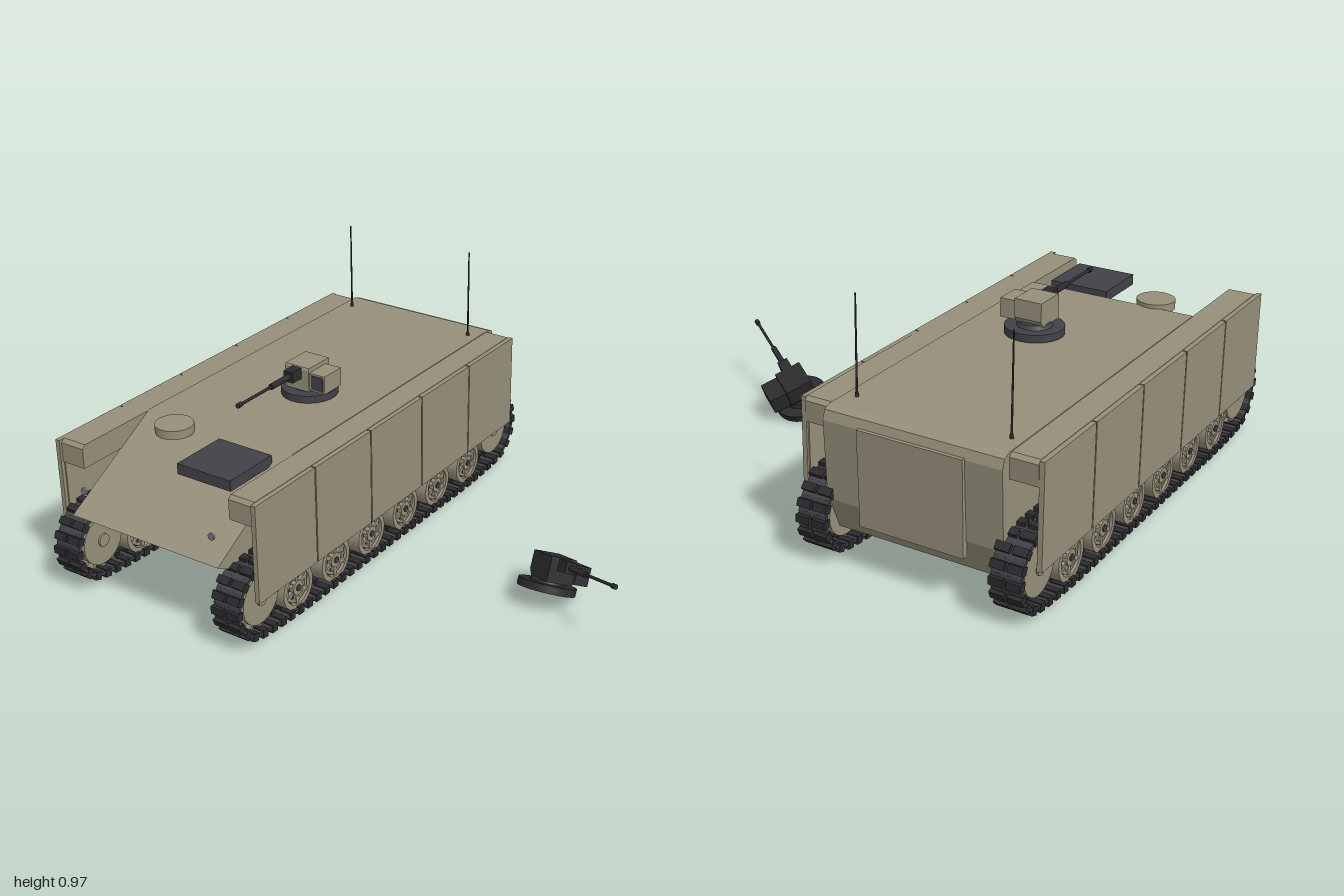
import * as THREE from 'three';
import { mergeGeometries, toCreasedNormals } from 'three/addons/utils/BufferGeometryUtils.js';

const mat = (name, color) => new THREE.MeshStandardMaterial({ name, color });
const CX = -0.528; // centre line of the vehicle

export function createModel() {
  const tan = mat('tan paint', 0x968f7a);
  const charcoal = mat('charcoal', 0x424147);
  const black = mat('black metal', 0x2b2b2f);
  const grey = mat('lamp grey', 0x777a80);
  const model = new THREE.Group();
  model.name = 'armouredCarrier';

  const add = (parent, name, geo, material, x = 0, y = 0, z = 0) => {
    const m = new THREE.Mesh(geo, material);
    m.name = name;
    m.position.set(x, y, z);
    parent.add(m);
    return m;
  };
  // box from its min and max corners
  const block = (parent, name, material, x0, x1, y0, y1, z0, z1) =>
    add(parent, name, new THREE.BoxGeometry(x1 - x0, y1 - y0, z1 - z0), material,
      (x0 + x1) / 2, (y0 + y1) / 2, (z0 + z1) / 2);
  // side profile in (z, y), extruded across x from x0 to x1
  const slab = (parent, name, material, pts, x0, x1) => {
    const shape = new THREE.Shape(pts.map(p => new THREE.Vector2(p[0], p[1])));
    const g = new THREE.ExtrudeGeometry(shape, { depth: x1 - x0, bevelEnabled: false });
    g.rotateY(-Math.PI / 2);
    return add(parent, name, g, material, x1);
  };
  const xCylinder = (r, w, n = 32) => new THREE.CylinderGeometry(r, r, w, n).rotateZ(Math.PI / 2);
  const zCylinder = (r, l, n = 12) => new THREE.CylinderGeometry(r, r, l, n).rotateX(Math.PI / 2);

  // hull
  const hull = new THREE.Group();
  hull.name = 'hull';
  model.add(hull);
  slab(hull, 'hullBody', tan, [[0.95, 0.34], [0.5, 0.597], [-0.89, 0.597], [-0.92, 0.585],
    [-0.932, 0.55], [-0.915, 0.25], [-0.86, 0.12], [0.55, 0.12]], -0.875, -0.181);
  slab(hull, 'rearDoor', tan, [[-0.91, 0.19], [-0.91, 0.555], [-0.945, 0.555], [-0.932, 0.19]], -0.735, -0.325);
  add(hull, 'roundHatch', new THREE.CylinderGeometry(0.075, 0.075, 0.035, 40), tan, -0.693, 0.595, 0.56);
  block(hull, 'engineGrille', charcoal, -0.484, -0.238, 0.557, 0.6, 0.55, 0.79);

  for (const s of [-1, 1]) {
    const side = s > 0 ? 'left' : 'right';
    const span = (a, b) => (s > 0 ? [CX + a, CX + b] : [CX - b, CX - a]);

    // sponson box and hanging skirt panels
    slab(hull, side + 'Sponson', tan, [[0.87, 0.5], [0.87, 0.58], [0.855, 0.594], [-0.875, 0.594],
      [-0.89, 0.58], [-0.885, 0.5]], ...span(0.345, 0.452));
    for (let i = 0; i < 5; i++) {
      const z = 0.88 - i * 0.354;
      block(hull, side + 'SkirtPanel', tan, ...span(0.452, 0.471), 0.197, 0.592, z - 0.348, z);
    }
    block(hull, side + 'SkirtBacking', tan, ...span(0.447, 0.456), 0.205, 0.585, -0.875, 0.865);

    // headlamp and antenna
    add(hull, side + 'Headlamp', zCylinder(0.014, 0.008, 20), grey, CX + s * 0.303, 0.442, 0.922);
    add(hull, side + 'Antenna', new THREE.CylinderGeometry(0.003, 0.004, 0.375, 8), black, CX + s * 0.301, 0.782, -0.797);
    add(hull, side + 'AntennaBase', new THREE.CylinderGeometry(0.006, 0.008, 0.02, 10), black, CX + s * 0.301, 0.602, -0.797);

    model.add(runningGear(side, CX + s * 0.383));
  }

  // road wheels, end wheels and track, symmetric about their own x centre
  function runningGear(side, x) {
    const g = new THREE.Group();
    g.name = side + 'RunningGear';
    g.position.x = x;
    const w = 0.047;
    const ring = (r0, r1, h) => toCreasedNormals(new THREE.LatheGeometry(
      [[r0, -h], [r1, -h], [r1, h], [r0, h], [r0, -h]].map(p => new THREE.Vector2(p[0], p[1])), 32)
      .rotateZ(Math.PI / 2), 0.6);
    const rim = ring(0.069, 0.089, w);
    const innerRim = ring(0.05, 0.062, w - 0.008);
    const spokes = mergeGeometries([0, 1, 2].map(i =>
      new THREE.BoxGeometry(0.082, 0.15, 0.016).rotateX(i * Math.PI / 3)));
    for (let i = 0; i < 6; i++) {
      const wheel = new THREE.Group();
      wheel.name = 'roadWheel';
      wheel.position.set(0, 0.107, 0.6 - i * 0.24);
      g.add(wheel);
      add(wheel, 'wheelRim', rim, tan);
      add(wheel, 'wheelInnerRim', innerRim, tan);
      add(wheel, 'wheelWeb', xCylinder(0.075, 0.055), black);
      add(wheel, 'wheelSpokes', spokes, tan);
      add(wheel, 'wheelHub', xCylinder(0.03, 0.094, 20), tan);
      add(wheel, 'wheelHubCap', xCylinder(0.013, 0.104, 12), charcoal);
    }
    for (const e of [1, -1]) {
      const end = new THREE.Group();
      end.name = e > 0 ? 'driveSprocket' : 'idlerWheel';
      end.position.set(0, 0.172, e * 0.816);
      g.add(end);
      add(end, 'endDisc', xCylinder(0.102, 0.088, 36), tan);
      add(end, 'endHub', xCylinder(0.026, 0.104, 20), tan);
      if (e < 0) continue;
      for (let i = 0; i < 14; i++) {
        const a = i / 14 * Math.PI * 2;
        add(end, 'sprocketTooth', new THREE.BoxGeometry(0.07, 0.03, 0.014), tan,
          0, 0.105 * Math.cos(a), 0.105 * Math.sin(a)).rotation.x = a;
      }
    }

    // closed track path: top run forward, round the front, back along the ground
    const pts = [];
    const arc = e => {
      for (let i = 0; i <= 8; i++) {
        const a = Math.PI / 2 - (i / 8) * Math.PI * 0.9;
        pts.push(new THREE.Vector3(0, 0.172 + 0.139 * Math.sin(a), e * (0.816 + 0.139 * Math.cos(a))));
      }
    };
    for (let z = -0.6; z < 0.7; z += 0.2) pts.push(new THREE.Vector3(0, 0.309, z));
    arc(1);
    for (let z = 0.62; z > -0.7; z -= 0.31) pts.push(new THREE.Vector3(0, 0.018, z));
    const n0 = pts.length;
    arc(-1);
    pts.push(...pts.splice(n0).reverse());
    const path = new THREE.CatmullRomCurve3(pts, true, 'centripetal');
    path.arcLengthDivisions = 800;
    const N = 76, links = [], bands = [];
    const part = (list, sx, sy, sz, px, py, p, a) =>
      list.push(new THREE.BoxGeometry(sx, sy, sz).translate(px, py, 0).rotateX(a).translate(p.x, p.y, p.z));
    for (let i = 0; i < N; i++) {
      const p = path.getPointAt(i / N), t = path.getTangentAt(i / N);
      const a = Math.atan2(-t.y, t.z);
      for (const k of [-1, 1]) part(links, 0.055, 0.032, 0.03, k * 0.033, 0.002, p, a);
      part(links, 0.016, 0.03, 0.018, 0, -0.012, p, a);
      part(bands, 0.114, 0.013, 0.058, 0, -0.003, p, a);
    }
    add(g, 'trackPads', mergeGeometries(links), black);
    add(g, 'trackBand', mergeGeometries(bands), charcoal);
    return g;
  }

  // remote weapon station, origin at the underside of its turntable
  function weaponStation(name, paint, dark) {
    const g = new THREE.Group();
    g.name = name;
    add(g, 'turntable', new THREE.CylinderGeometry(0.113, 0.113, 0.03, 40), dark, 0, 0.015, 0);
    add(g, 'pedestal', new THREE.CylinderGeometry(0.06, 0.07, 0.02, 32), dark, 0, 0.036, 0);
    slab(g, 'gunHousing', paint, [[0.08, 0.04], [-0.035, 0.04], [-0.055, 0.065], [-0.055, 0.138],
      [0.075, 0.138], [0.08, 0.13]], -0.056, 0.056);
    block(g, 'sightBox', paint, 0.056, 0.128, 0.046, 0.12, -0.035, 0.074);
    block(g, 'sightGlass', dark, 0.066, 0.12, 0.054, 0.112, 0.073, 0.078);
    block(g, 'gunMantlet', dark, -0.022, 0.022, 0.09, 0.134, 0.07, 0.135);
    add(g, 'barrelSleeve', zCylinder(0.012, 0.11), dark, 0, 0.112, 0.19);
    add(g, 'barrel', zCylinder(0.006, 0.3), dark, 0, 0.112, 0.29);
    add(g, 'muzzle', zCylinder(0.01, 0.022), dark, 0, 0.112, 0.434);
    model.add(g);
    return g;
  }
  weaponStation('roofWeaponStation', tan, charcoal).position.set(-0.45, 0.6, 0.03);
  model.getObjectByName('roofWeaponStation').traverse(o => {
    if (/barrel|muzzle|gunMantlet/i.test(o.name)) o.material = black;
  });

  // loose weapon station lying tilted on the ground
  const loose = weaponStation('looseWeaponStation', black, black);
  const f = new THREE.Vector3(0.825, 0.28, 0.488).normalize();
  const r = new THREE.Vector3(-0.04, 0.885, -0.464).cross(f).normalize();
  const u = f.clone().cross(r);
  loose.quaternion.setFromRotationMatrix(new THREE.Matrix4().makeBasis(r, u, f));
  loose.position.set(0.637, 0.052, 0.03);
  return model;
}
